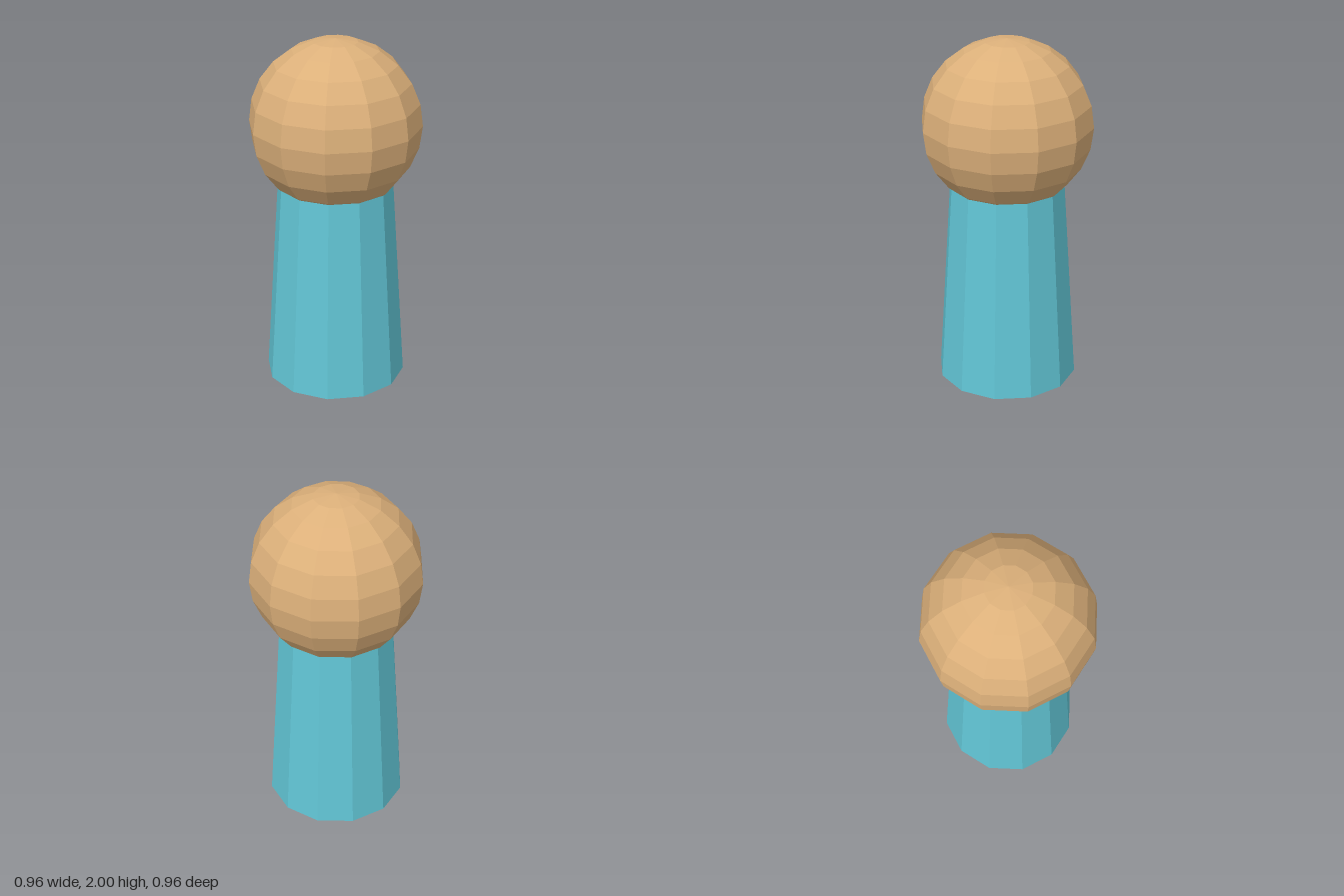
import * as THREE from 'three';

export function createModel() {
  const group = new THREE.Group();
  const sides = 12;

  const add = (name, geometry, color, y) => {
    const material = new THREE.MeshStandardMaterial({ color, flatShading: true });
    const mesh = new THREE.Mesh(geometry, material);
    mesh.name = name;
    mesh.position.y = y;
    group.add(mesh);
  };

  // Tapered body, its top tucked inside the head
  const bodyHeight = 1.25;
  add('body', new THREE.CylinderGeometry(0.32, 0.403, bodyHeight, sides), 0x62c6d6, bodyHeight / 2);

  // Faceted round head
  add('head', new THREE.SphereGeometry(0.48, sides, 12), 0xdcb07a, 1.52);

  return group;
}
